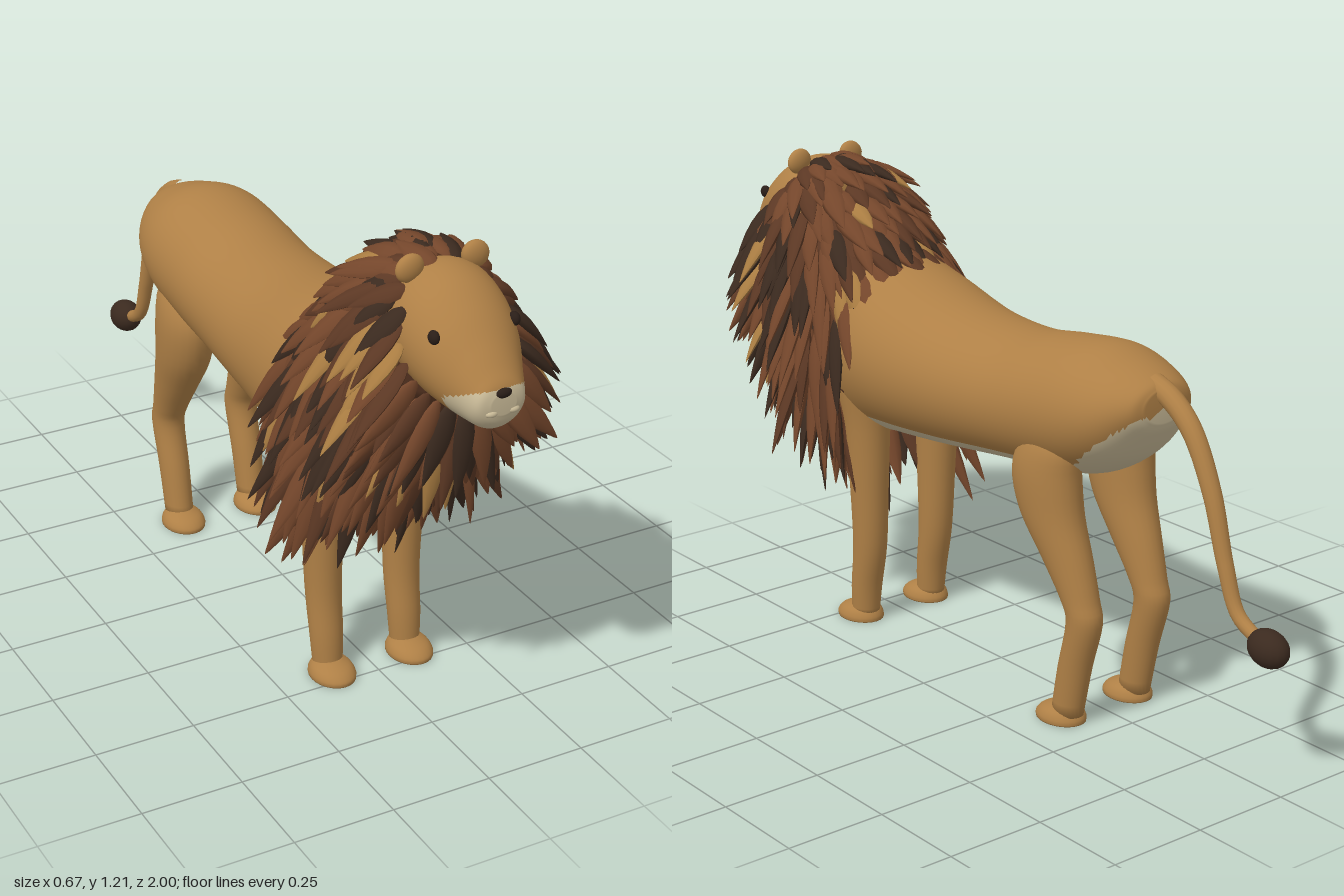
import * as THREE from 'three';
import { mergeGeometries } from 'three/addons/utils/BufferGeometryUtils.js';

const paint = (name, color) => {
  const m = new THREE.MeshStandardMaterial({ color });
  m.name = name;
  return m;
};

// Smooth loft through sections [x, y, z, radiusX, radius2]; rings face z ('z') or y ('y').
// pick(x, y, z, sin) chooses a material index for each face.
function loft(sections, axis, steps = 24, sides = 28, pick = () => 0) {
  const centre = new THREE.CatmullRomCurve3(sections.map(s => new THREE.Vector3(s[0], s[1], s[2])), false, 'catmullrom');
  const radius = new THREE.CatmullRomCurve3(sections.map(s => new THREE.Vector3(s[3], s[4], 0)), false, 'catmullrom');
  const pos = [], faces = [];
  for (let i = 0; i <= steps; i++) {
    const c = centre.getPoint(i / steps), r = radius.getPoint(i / steps);
    for (let j = 0; j < sides; j++) {
      const a = j / sides * Math.PI * 2, u = Math.cos(a) * r.x, v = Math.sin(a) * r.y;
      if (axis === 'z') pos.push(c.x + u, c.y + v, c.z);
      else pos.push(c.x + u, c.y, c.z - v);
    }
  }
  const add = (a, b, c, sin) => {
    const mid = k => (pos[a * 3 + k] + pos[b * 3 + k] + pos[c * 3 + k]) / 3;
    const m = pick(mid(0), mid(1), mid(2), sin);
    (faces[m] ||= []).push(a, b, c);
  };
  for (let i = 0; i < steps; i++) for (let j = 0; j < sides; j++) {
    const k = (j + 1) % sides, sin = Math.sin((j + 0.5) / sides * Math.PI * 2);
    const a = i * sides + j, b = i * sides + k, c = b + sides, d = a + sides;
    add(a, b, d, sin);
    add(b, c, d, sin);
  }
  // End caps
  for (const end of [0, 1]) {
    const c = centre.getPoint(end), o = end * steps * sides, n = pos.length / 3;
    pos.push(c.x, c.y, c.z);
    for (let j = 0; j < sides; j++) {
      const k = (j + 1) % sides;
      if (end) add(n, o + j, o + k, 0); else add(n, o + k, o + j, 0);
    }
  }
  const g = new THREE.BufferGeometry();
  g.setAttribute('position', new THREE.Float32BufferAttribute(pos, 3));
  const index = [];
  faces.forEach((f, m) => {
    g.addGroup(index.length, f.length, m);
    for (const v of f) index.push(v);
  });
  g.setIndex(index);
  g.computeVertexNormals();
  return g;
}

export function createModel() {
  const group = new THREE.Group();
  group.name = 'lion';
  const tan = paint('tan fur', 0xaf8046), cream = paint('cream fur', 0xcabb98);
  const brown = paint('brown mane', 0x74462b), midBrown = paint('deep brown mane', 0x5c3824);
  const dark = paint('dark mane', 0x3b2a1f), gold = paint('golden mane', 0xaa7d42);
  const black = paint('nose and eyes', 0x2a1e18);
  const part = (name, geometry, material, x = 0, y = 0, z = 0) => {
    const mesh = new THREE.Mesh(geometry, material);
    mesh.name = name;
    mesh.position.set(x, y, z);
    group.add(mesh);
    return mesh;
  };
  const blob = (name, material, p, s) => {
    const mesh = part(name, new THREE.SphereGeometry(1, 18, 12), material, ...p);
    mesh.scale.set(...s);
    return mesh;
  };

  // Torso and neck, with pale belly and rump
  const torso = [
    [-0.59, 0.825, 0.06, 0.04], [-0.57, 0.817, 0.1, 0.068], [-0.5, 0.79, 0.152, 0.122],
    [-0.4, 0.775, 0.18, 0.16], [-0.25, 0.755, 0.185, 0.165], [-0.1, 0.737, 0.187, 0.163],
    [0.1, 0.73, 0.2, 0.18], [0.3, 0.745, 0.218, 0.214], [0.45, 0.765, 0.2, 0.245],
    [0.55, 0.82, 0.175, 0.23], [0.65, 0.94, 0.14, 0.18], [0.72, 1.0, 0.12, 0.14],
  ].map(s => [0, s[1], s[0], s[2], s[3]]);
  part('body', loft(torso, 'z', 66, 56, (x, y, z, sin) => {
    if (z > 0.42) return 2;
    if (z < -0.4) return y < 0.665 + (-0.42 - z) * 0.85 ? 1 : 0;
    return sin < -0.7 ? 1 : 0;
  }), [tan, cream, midBrown]);

  // Head with pale muzzle that slopes back to the chin
  const head = [
    [0.63, 1.05, 0.09, 0.09], [0.72, 1.05, 0.13, 0.132], [0.8, 1.032, 0.132, 0.138],
    [0.87, 1.005, 0.116, 0.12], [0.93, 0.972, 0.087, 0.092], [0.965, 0.953, 0.07, 0.07],
    [0.985, 0.95, 0.056, 0.048], [0.994, 0.952, 0.03, 0.025],
  ].map(s => [0, s[1], s[0], s[2], s[3]]);
  part('head', loft(head, 'z', 49, 48, (x, y, z) =>
    z > 0.9 && y < 0.945 + (z - 0.89) * 0.42 ? 1 : 0), [tan, cream]);
  blob('nose', black, [0, 0.977, 0.988], [0.021, 0.012, 0.012]);
  for (const s of [-1, 1]) {
    blob('eye', black, [s * 0.1, 1.076, 0.868], [0.012, 0.016, 0.016]);
    blob('whiskerPad', cream, [s * 0.027, 0.933, 0.986], [0.016, 0.009, 0.012]);
    blob('ear', tan, [s * 0.082, 1.178, 0.733], [0.035, 0.032, 0.018]).rotation.z = -s * 0.5;
  }

  // Legs and paws
  const foreLeg = [
    [0.108, 0.02, 0.437, 0.036, 0.038], [0.108, 0.1, 0.43, 0.041, 0.041], [0.108, 0.22, 0.413, 0.044, 0.047],
    [0.11, 0.4, 0.41, 0.049, 0.056], [0.112, 0.55, 0.41, 0.056, 0.065], [0.115, 0.7, 0.42, 0.07, 0.09],
    [0.115, 0.8, 0.43, 0.04, 0.05],
  ];
  const hindLeg = [
    [0.108, 0.02, -0.385, 0.036, 0.044], [0.108, 0.15, -0.412, 0.039, 0.045], [0.108, 0.27, -0.443, 0.042, 0.047],
    [0.108, 0.33, -0.425, 0.045, 0.052], [0.11, 0.42, -0.38, 0.055, 0.072], [0.114, 0.52, -0.33, 0.066, 0.092],
    [0.116, 0.62, -0.312, 0.069, 0.1], [0.114, 0.69, -0.325, 0.058, 0.085], [0.11, 0.74, -0.335, 0.03, 0.035],
  ];
  const paw = [[0, 0, 0, 0.055, 0.069], [0, 0.012, 0, 0.055, 0.068], [0, 0.028, -0.004, 0.046, 0.054], [0, 0.042, -0.012, 0.024, 0.026]];
  for (const s of [-1, 1]) {
    for (const [name, leg, footZ] of [['frontLeg', foreLeg, 0.46], ['hindLeg', hindLeg, -0.362]]) {
      part(name, loft(leg.map(p => [p[0] * s, ...p.slice(1)]), 'y', 32, 24), [tan]);
      part(name + 'Paw', loft(paw, 'y', 12, 24), [tan], s * 0.108, 0, footZ);
    }
  }

  // Tapered tail and tuft
  const path = new THREE.CatmullRomCurve3([[0.87, -0.55], [0.848, -0.61], [0.79, -0.68], [0.66, -0.75],
    [0.5, -0.8], [0.395, -0.845], [0.352, -0.92]].map(p => new THREE.Vector3(0, p[0], p[1])));
  const tail = new THREE.TubeGeometry(path, 36, 1, 14);
  const tp = tail.attributes.position, v = new THREE.Vector3();
  for (let i = 0; i < tp.count; i++) {
    const t = Math.floor(i / 15) / 36, c = path.getPointAt(t);
    v.fromBufferAttribute(tp, i).sub(c).multiplyScalar(0.028 - 0.012 * t).add(c);
    tp.setXYZ(i, v.x, v.y, v.z);
  }
  part('tail', tail, tan);
  blob('tailTuft', dark, [0, 0.346, -0.944], [0.041, 0.044, 0.056]).rotation.x = -0.15;

  // One broad, pointed, slightly curled lock of hair
  const lock = new THREE.SphereGeometry(1, 8, 8), lp = lock.attributes.position;
  for (let i = 0; i < lp.count; i++) {
    const u = (lp.getY(i) + 1) / 2, k = 1.15 * (1 - 0.75 * u * u);
    lp.setXYZ(i, lp.getX(i) * k, u, lp.getZ(i) * k - 1.2 * u * u);
  }
  lock.computeVertexNormals();

  // Mane: rings of locks from the face back to the shoulders
  let seed = 23;
  const rnd = () => (seed = (seed * 16807) % 2147483647) / 2147483647;
  const jitter = a => (rnd() * 2 - 1) * a;
  const lerp = THREE.MathUtils.lerp;
  // Ring points: [half width, y, z]
  const tops = new THREE.CatmullRomCurve3([[0.13, 1.175, 0.73], [0.165, 1.18, 0.65], [0.198, 1.1, 0.53], [0.2, 0.995, 0.41]]
    .map(p => new THREE.Vector3(...p)), false, 'catmullrom');
  const bottoms = new THREE.CatmullRomCurve3([[0, 0.89, 0.855], [0, 0.8, 0.78], [0, 0.66, 0.66], [0, 0.525, 0.5]]
    .map(p => new THREE.Vector3(...p)), false, 'catmullrom');
  const shades = { brown: [brown, []], midBrown: [midBrown, []], dark: [dark, []], gold: [gold, []] };
  const rings = 12;
  for (let i = 0; i < rings; i++) {
    const t = i / (rings - 1), top = tops.getPoint(t), bottom = bottoms.getPoint(t);
    const count = Math.round(24 + 10 * t);
    for (let j = 0; j < count; j++) {
      const a = (j + (i % 2) / 2 + jitter(0.25)) / count * Math.PI * 2;
      const s = Math.sin(a), c = Math.cos(a), up = Math.max(c, 0) ** 2, low = (1 - c) / 2;
      const root = new THREE.Vector3(s * top.x, lerp(top.y, bottom.y, low), lerp(top.z, bottom.z, low) + jitter(0.015));
      const Y = new THREE.Vector3(s * (0.95 - 0.65 * t) + jitter(0.12),
        lerp(-0.85, 0.2 - 0.6 * t, up) + jitter(0.08), lerp(0.08 - 0.35 * t, -1, up) + jitter(0.1)).normalize();
      const Z = new THREE.Vector3(s, c, 0.1);
      Z.addScaledVector(Y, -Z.dot(Y));
      if (Z.length() < 0.35) Z.set(0, 0, 1).addScaledVector(Y, -Y.z);
      Z.normalize();
      const X = new THREE.Vector3().crossVectors(Y, Z);
      const length = (lerp(0.12, 0.21, low) + 0.12 * Math.abs(s) * t) * (1 + jitter(0.2));
      X.multiplyScalar(0.023 + 0.007 * rnd());
      Y.multiplyScalar(length);
      Z.multiplyScalar(0.015);
      const m = new THREE.Matrix4().makeBasis(X, Y, Z).setPosition(root);
      const r = rnd(), g = t < 0.55 && Math.abs(c) < 0.8 ? 0.22 : 0.06, d = g + (t > 0.4 ? 0.27 : 0.16);
      const shade = r < g ? 'gold' : r < d ? 'dark' : r < d + 0.2 ? 'midBrown' : 'brown';
      shades[shade][1].push(lock.clone().applyMatrix4(m));
    }
  }
  for (const [name, [material, locks]] of Object.entries(shades)) {
    part(name + 'ManeLocks', mergeGeometries(locks), material);
  }
  return group;
}
